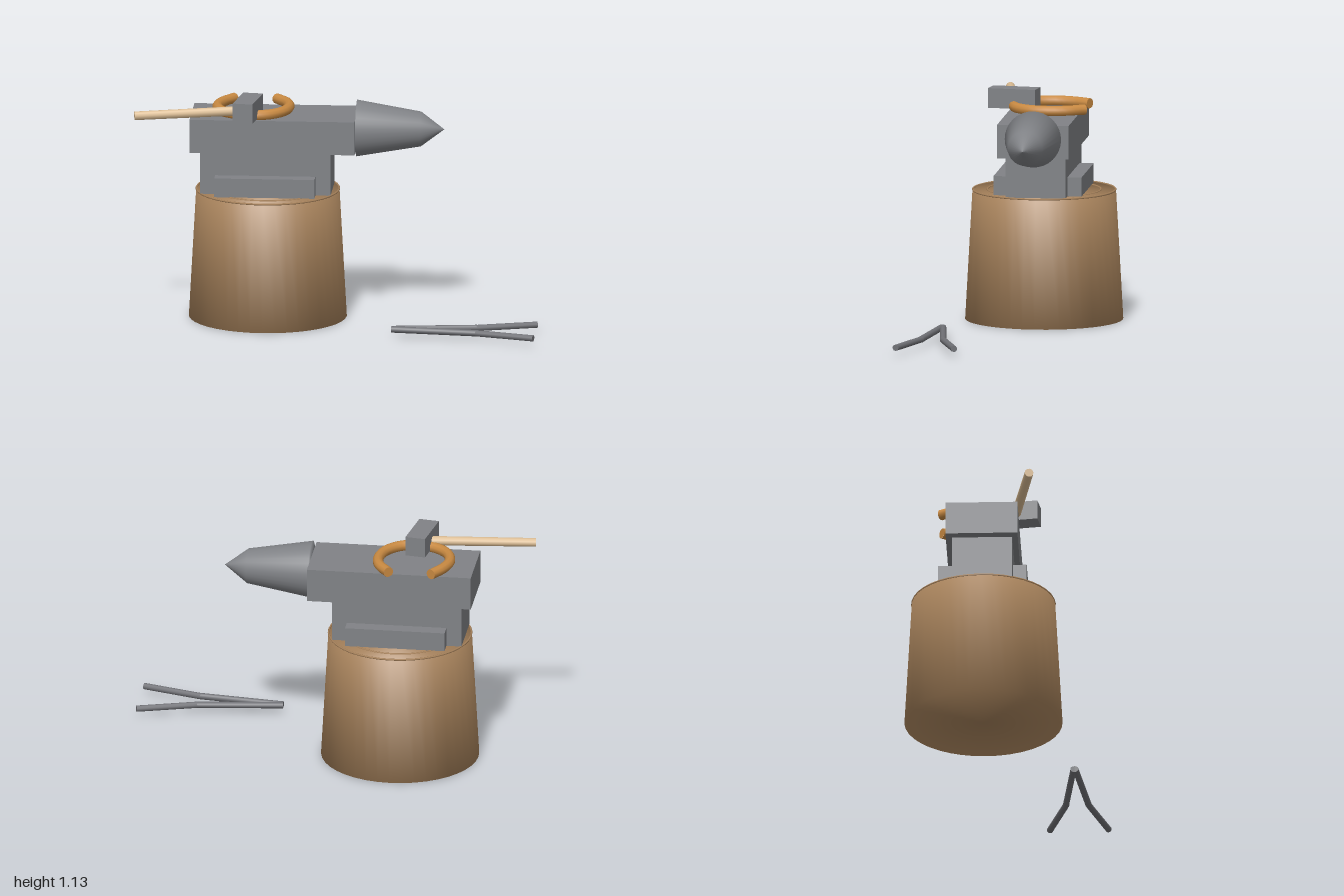
import * as THREE from 'three';

const material = (name, color) => new THREE.MeshStandardMaterial({ name, color });

export function createModel() {
  const model = new THREE.Group();
  const wood = material('stump wood', 0xa8835c);
  const steel = material('anvil steel', 0x808286);
  const copper = material('hot horseshoe', 0xc98a42);
  const ash = material('handle wood', 0xdcbd94);
  const iron = material('tongs iron', 0x707176);

  const add = (name, geometry, mat, x = 0, y = 0, z = 0) => {
    const mesh = new THREE.Mesh(geometry, mat);
    mesh.name = name;
    mesh.position.set(x, y, z);
    model.add(mesh);
    return mesh;
  };
  const lathe = (points, sides) =>
    new THREE.LatheGeometry(points.map(([r, y]) => new THREE.Vector2(r, y)), sides);
  // Box given by its lowest and highest corners
  const block = (name, a, b) => add(name,
    new THREE.BoxGeometry(b[0] - a[0], b[1] - a[1], b[2] - a[2]), steel,
    (a[0] + b[0]) / 2, (a[1] + b[1]) / 2, (a[2] + b[2]) / 2);
  // Capped round bar between two points
  const rod = (name, from, to, r0, r1, mat) => {
    const a = new THREE.Vector3(...from), b = new THREE.Vector3(...to);
    const dir = b.clone().sub(a);
    const mesh = add(name, new THREE.CylinderGeometry(r1, r0, dir.length(), 10), mat);
    mesh.position.copy(a).add(b).multiplyScalar(0.5);
    mesh.quaternion.setFromUnitVectors(new THREE.Vector3(0, 1, 0), dir.normalize());
    return mesh;
  };

  // Tapered stump with a rim and a growth ring on top
  const cx = -0.355, cz = -0.1;
  add('stump', lathe([[0, 0], [0.39, 0], [0.354, 0.643], [0, 0.643]], 40), wood, cx, 0, cz);
  for (const [name, r] of [['stumpRim', 0.352], ['growthRing', 0.28]]) {
    add(name, new THREE.TorusGeometry(r, 0.005, 6, 40), wood, cx, 0.643, cz).rotation.x = Math.PI / 2;
  }

  // Anvil: foot, waist, body and horn
  block('anvilFoot', [-0.605, 0.645, -0.315], [-0.11, 0.74, 0.122]);
  block('anvilWaist', [-0.68, 0.645, -0.245], [-0.035, 0.86, 0.053]);
  block('anvilBody', [-0.73, 0.858, -0.275], [0.085, 1.025, 0.08]);
  const horn = lathe([[0, 0], [0.14, 0], [0.086, 0.317], [0, 0.432]], 32);
  add('anvilHorn', horn, steel, 0.085, 0.955, -0.098).rotation.z = -Math.PI / 2;

  // Open horseshoe lying on the anvil
  const shoe = [[-0.535, -0.305], [-0.585, -0.22], [-0.606, -0.13], [-0.58, -0.03],
    [-0.51, 0.035], [-0.425, 0.058], [-0.34, 0.035], [-0.275, -0.035],
    [-0.252, -0.13], [-0.268, -0.22], [-0.325, -0.305]]
    .map(([x, z]) => new THREE.Vector3(x, 1.048, z));
  const path = new THREE.CatmullRomCurve3(shoe);
  add('horseshoe', new THREE.TubeGeometry(path, 30, 0.026, 10), copper);
  for (const t of [0, 1]) {
    const p = path.getPointAt(t), d = path.getTangentAt(t).multiplyScalar(t ? 1 : -1);
    const cap = add('horseshoeEnd', new THREE.CircleGeometry(0.026, 10), copper, p.x, p.y, p.z);
    cap.quaternion.setFromUnitVectors(new THREE.Vector3(0, 0, 1), d);
  }

  // Hammer resting across the horseshoe
  const head = add('hammerHead', new THREE.BoxGeometry(0.1, 0.098, 0.24), steel, -0.443, 1.084, 0.06);
  head.rotation.y = -0.155;
  rod('hammerHandle', [-0.997, 1.057, 0.147], [-0.43, 1.073, 0.056], 0.022, 0.024, ash);

  // Tongs on the ground, two mirrored bent arms
  for (const s of [-1, 1]) {
    const at = (x, dz) => [x, 0.04, 0.327 + s * dz];
    rod('tongsRein', at(0.285, 0.004), at(0.705, 0.056), 0.016, 0.016, iron);
    rod('tongsJaw', at(0.7, 0.054), at(0.995, 0.145), 0.016, 0.016, iron);
  }
  return model;
}
